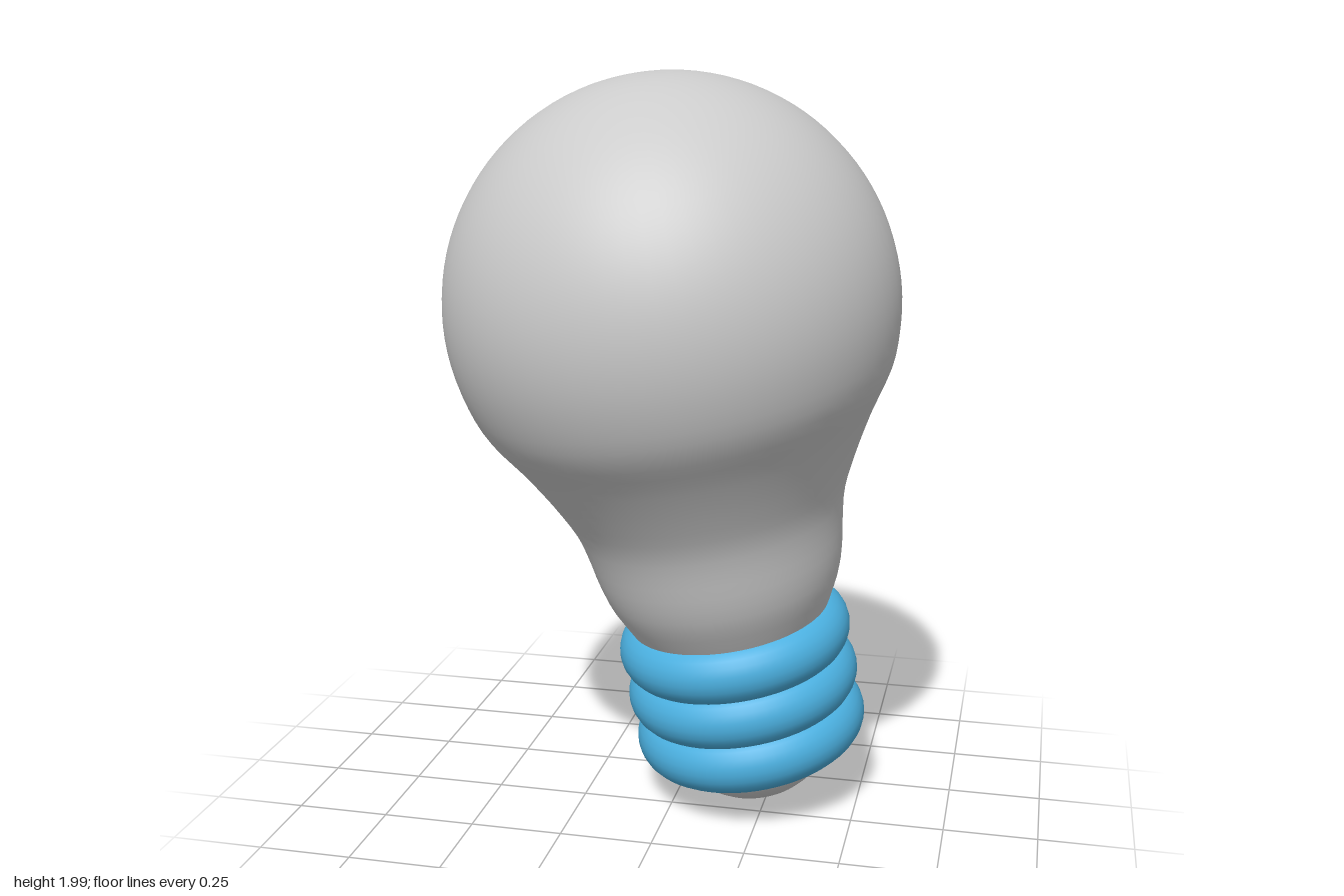
import * as THREE from 'three';

export function createModel() {
  const group = new THREE.Group();
  group.name = 'lightBulb';
  const glassMat = new THREE.MeshStandardMaterial({ color: 0xcccccc });
  const threadMat = new THREE.MeshStandardMaterial({ color: 0x4bb0e0 });

  // Tilted frame with its origin at the centre of the round globe
  const bulb = new THREE.Group();
  bulb.name = 'tiltedBulb';
  bulb.position.set(0, 1.41, 0);
  bulb.quaternion.setFromUnitVectors(
    new THREE.Vector3(0, 1, 0),
    new THREE.Vector3(-0.165, 1, 0.112).normalize()
  );
  group.add(bulb);

  // Body profile [radius, height]: contact tip, core inside the thread, neck
  const globeRadius = 0.59;
  const profile = [
    [0, -1.425], [0.06, -1.421], [0.135, -1.39], [0.185, -1.345], [0.213, -1.285],
    [0.225, -1.2], [0.23, -1.08], [0.24, -0.95], [0.278, -0.868], [0.318, -0.78],
    [0.338, -0.7], [0.346, -0.65], [0.366, -0.56], [0.408, -0.465], [0.47, -0.35],
  ];
  // Round globe above the neck
  for (let i = 0; i <= 12; i++) {
    const a = THREE.MathUtils.lerp(-0.4, Math.PI / 2, i / 12);
    profile.push([globeRadius * Math.cos(a), globeRadius * Math.sin(a)]);
  }
  const curve = new THREE.CatmullRomCurve3(profile.map(([r, y]) => new THREE.Vector3(r, y, 0)));
  const points = curve.getSpacedPoints(72).map((p) => new THREE.Vector2(Math.max(0, p.x), p.y));
  points[0].x = points[points.length - 1].x = 0;
  const body = new THREE.Mesh(new THREE.LatheGeometry(points, 64), glassMat);
  body.name = 'glassBody';
  bulb.add(body);

  // Three rounded thread rings around the base
  [-0.947, -1.08, -1.213].forEach((y, i) => {
    const ring = new THREE.Mesh(new THREE.TorusGeometry(0.237, 0.083, 24, 64), threadMat);
    ring.name = `threadRing${i + 1}`;
    ring.rotation.x = Math.PI / 2;
    ring.position.y = y;
    bulb.add(ring);
  });

  return group;
}
